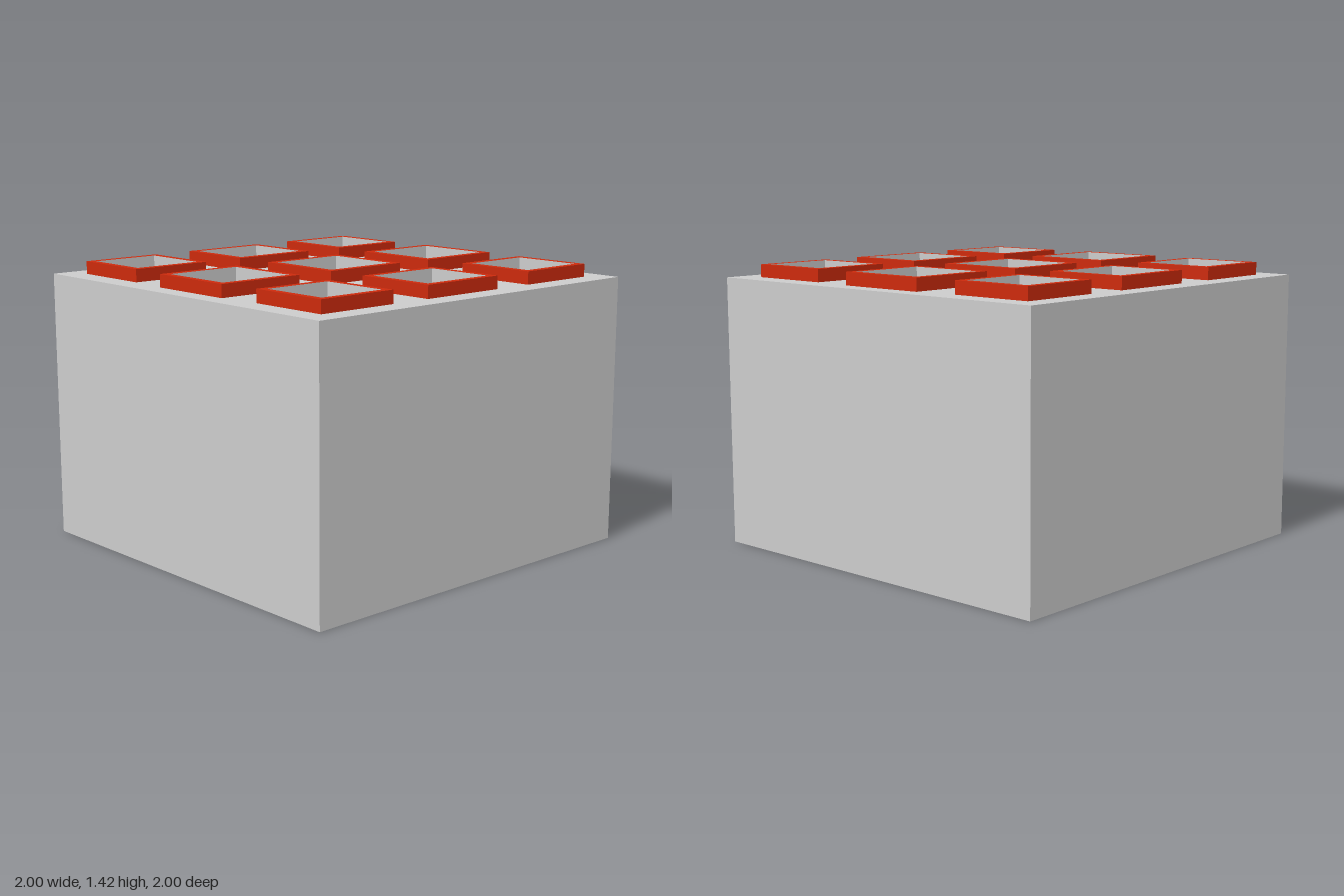
import * as THREE from 'three';

const PLATE_Y = 1.353, RIM_Y = 1.417, FLOOR_Y = 0.745, RIM_WIDTH = 0.035;

const grey = new THREE.MeshStandardMaterial({ color: 0xcccccc, side: THREE.DoubleSide });
const red = new THREE.MeshStandardMaterial({ color: 0xcc2a0c, side: THREE.DoubleSide });

// Corners of a rectangle, counter-clockwise seen from above
const SIGNS = [[-1, 1], [1, 1], [1, -1], [-1, -1]];

// Skins a series of rectangles [width, depth, height] with flat faces
function loft(sections) {
  const pos = [];
  const corner = ([w, d, y], i) => {
    const [sx, sz] = SIGNS[i % 4];
    return [sx * w / 2, y, sz * d / 2];
  };
  for (let s = 0; s < sections.length - 1; s++) {
    for (let i = 0; i < 4; i++) {
      const a = corner(sections[s], i), b = corner(sections[s], i + 1);
      const c = corner(sections[s + 1], i + 1), d = corner(sections[s + 1], i);
      pos.push(...a, ...b, ...c);
      // a section of zero size closes to a point
      if (sections[s + 1][0] > 0) pos.push(...a, ...c, ...d);
    }
  }
  const geo = new THREE.BufferGeometry();
  geo.setAttribute('position', new THREE.Float32BufferAttribute(pos, 3));
  geo.computeVertexNormals();
  return geo;
}

function rectangle(path, x, z, w, d) {
  path.moveTo(x - w / 2, z - d / 2);
  path.lineTo(x + w / 2, z - d / 2);
  path.lineTo(x + w / 2, z + d / 2);
  path.lineTo(x - w / 2, z + d / 2);
  path.closePath();
  return path;
}

function addMesh(parent, name, geometry, material) {
  const mesh = new THREE.Mesh(geometry, material);
  mesh.name = name;
  parent.add(mesh);
  return mesh;
}

export function createModel() {
  const model = new THREE.Group();
  model.name = 'pocketBox';

  // Thin side walls, open underneath
  addMesh(model, 'sideWalls', loft([[2, 2, 0], [2, 2, PLATE_Y]]), grey);

  const plate = rectangle(new THREE.Shape(), 0, 0, 2, 2);

  // Three by three pockets; the corner ones are a little smaller
  for (let row = -1; row <= 1; row++) {
    for (let col = -1; col <= 1; col++) {
      const w = row && col ? 0.427 : 0.467;
      const d = row ? 0.427 : 0.467;
      const iw = w - 2 * RIM_WIDTH, id = d - 2 * RIM_WIDTH;
      const x = col * 0.667, z = row * 0.667;
      plate.holes.push(rectangle(new THREE.Path(), x, -z, iw, id));

      const cell = new THREE.Group();
      cell.name = 'pocket';
      cell.position.set(x, 0, z);
      // Raised red rim: outer wall and top band
      addMesh(cell, 'pocketRim', loft([[w, d, PLATE_Y], [w, d, RIM_Y], [iw, id, RIM_Y]]), red);
      // Inner walls and floor
      addMesh(cell, 'pocketWell', loft([[iw, id, RIM_Y], [iw, id, FLOOR_Y], [0, 0, FLOOR_Y]]), grey);
      model.add(cell);
    }
  }

  // Top plate with the pocket openings
  const top = addMesh(model, 'topPlate', new THREE.ShapeGeometry(plate).rotateX(-Math.PI / 2), grey);
  top.position.y = PLATE_Y;

  return model;
}
